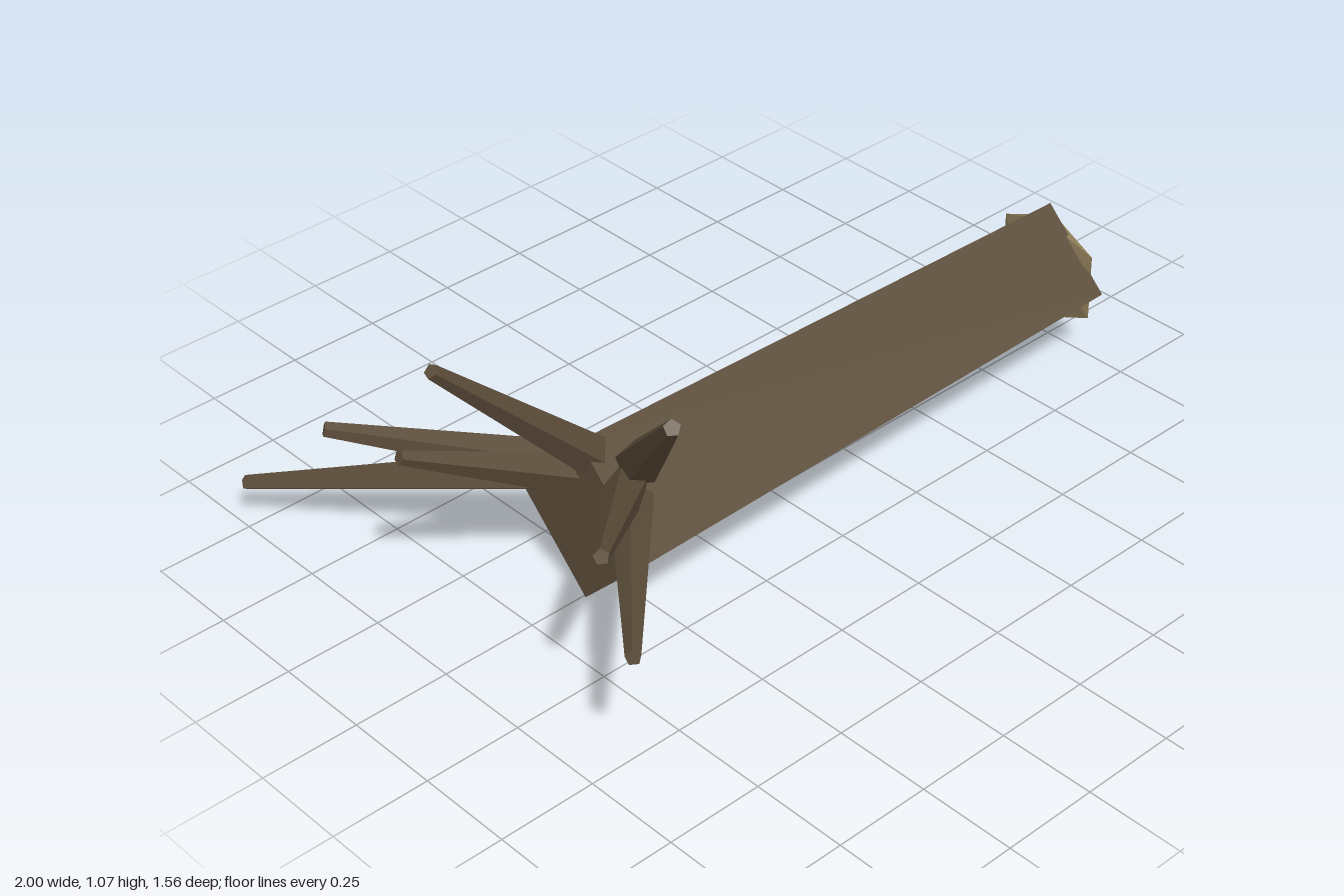
import * as THREE from 'three';

const CY = 0.222, CZ = 0.007; // axis of the trunk

export function createModel() {
  const group = new THREE.Group();
  group.name = 'fallenLog';
  const bark = new THREE.MeshStandardMaterial({ color: 0x5c4d3a, flatShading: true });
  bark.name = 'bark brown';
  const cutWood = new THREE.MeshStandardMaterial({ color: 0x8a7855, flatShading: true });
  cutWood.name = 'cut wood tan';

  const add = (name, geometry, material) => {
    const mesh = new THREE.Mesh(geometry, material);
    mesh.name = name;
    group.add(mesh);
    return mesh;
  };

  // Four-sided trunk lying on one edge, tapering towards +x
  const x0 = -0.595, x1 = 0.972;
  const trunk = new THREE.CylinderGeometry(0.188, 0.222, x1 - x0, 4);
  trunk.rotateZ(-Math.PI / 2);
  add('trunk', trunk, bark).position.set((x0 + x1) / 2, CY, CZ);

  // Broken end: a flattened icosahedron
  const end = new THREE.IcosahedronGeometry(0.173, 0);
  end.scale(0.19, 1, 1);
  add('brokenEnd', end, cutWood).position.set(x1, CY, CZ);

  // Roots: tapered five-sided spikes from base to tip
  const up = new THREE.Vector3(0, 1, 0);
  const roots = [
    [[-0.46, 0.33, 0.045], [-0.985, 1.06, 0.765]],
    [[-0.48, 0.30, 0.04], [-0.985, 0.625, 0.54]],
    [[-0.48, 0.28, 0.05], [-0.985, 0.415, 0.63]],
    [[-0.48, 0.31, 0.005], [-0.985, 0.815, 0.005]],
    [[-0.51, 0.29, -0.03], [-0.985, 0.52, -0.135]],
    [[-0.49, 0.29, -0.05], [-0.985, 0.45, -0.415]],
    [[-0.47, 0.28, -0.04], [-0.985, 0.112, -0.77]],
  ];
  roots.forEach(([a, b], i) => {
    const base = new THREE.Vector3(...a), tip = new THREE.Vector3(...b);
    const dir = tip.clone().sub(base);
    const root = add(`root${i + 1}`, new THREE.CylinderGeometry(0.018, 0.058, dir.length(), 5), bark);
    root.position.copy(base).lerp(tip, 0.5);
    root.quaternion.setFromUnitVectors(up, dir.normalize());
  });

  return group;
}
